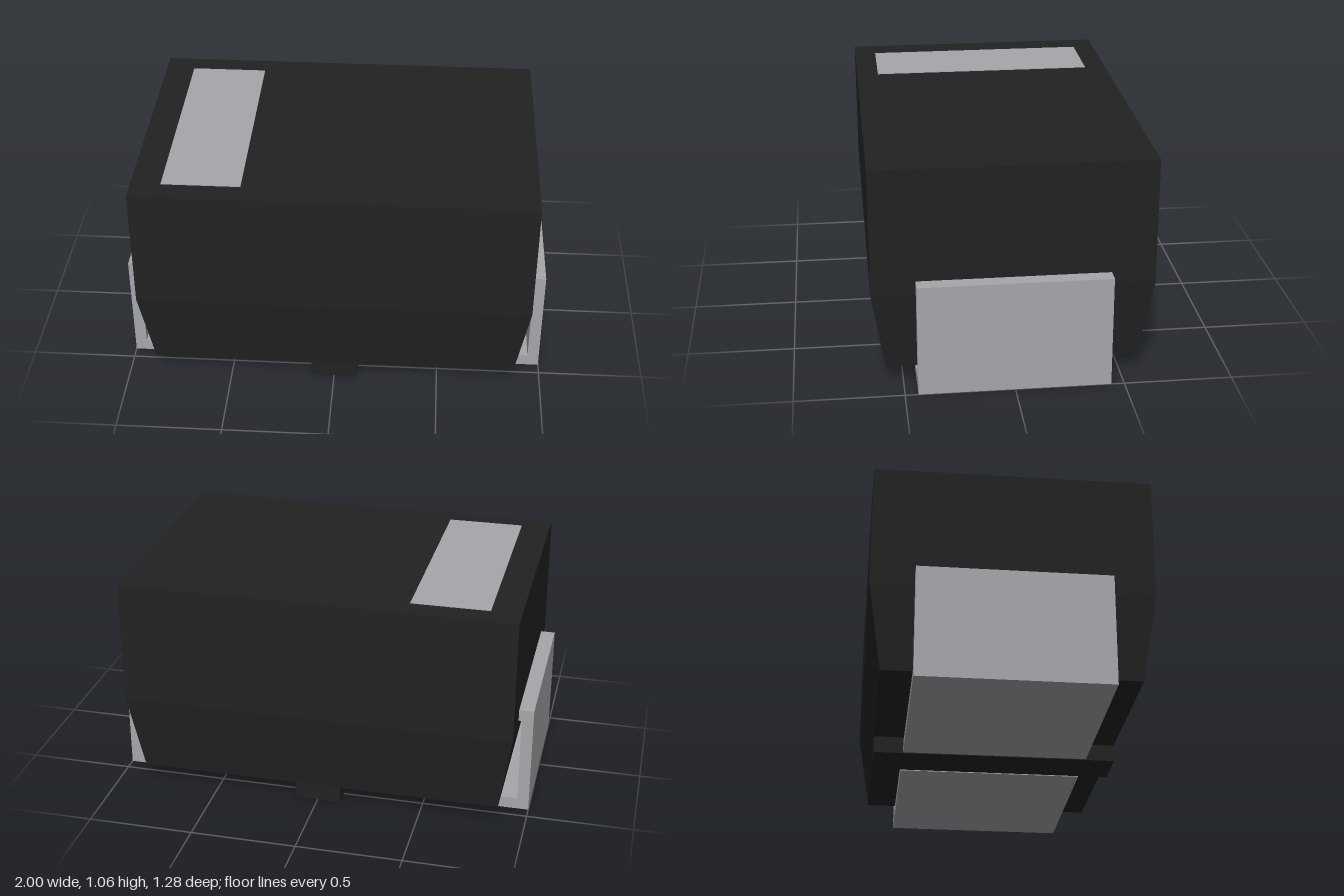
import * as THREE from 'three';

const plastic = new THREE.MeshStandardMaterial({ color: 0x222222 });
plastic.name = 'black plastic';
const metal = new THREE.MeshStandardMaterial({ color: 0xa6a7aa });
metal.name = 'grey metal';

// Box given by its limits on each axis
function box(name, material, [x0, x1], [y0, y1], [z0, z1]) {
  const mesh = new THREE.Mesh(new THREE.BoxGeometry(x1 - x0, y1 - y0, z1 - z0), material);
  mesh.position.set((x0 + x1) / 2, (y0 + y1) / 2, (z0 + z1) / 2);
  mesh.name = name;
  return mesh;
}

// Moulded body: straight upper half, lower half drawn in towards the base
function bodyGeometry() {
  const levels = [
    { y: 0.08, x: 0.87, z: 0.58 },
    { y: 0.47, x: 0.93, z: 0.64 },
    { y: 1.06, x: 0.93, z: 0.64 },
  ];
  const indexed = new THREE.BoxGeometry(2, 2, 2, 1, 2, 1);
  const p = indexed.attributes.position;
  for (let i = 0; i < p.count; i++) {
    const level = levels[Math.round(p.getY(i)) + 1];
    p.setXYZ(i, p.getX(i) * level.x, level.y, p.getZ(i) * level.z);
  }
  const geometry = indexed.toNonIndexed();
  geometry.computeVertexNormals();
  return geometry;
}

// Bent terminal strip: short lip into the body, down the side and under the base
function terminalGeometry() {
  const profile = [
    [0.12, 0], [1, 0], [1, 0.53], [0.92, 0.53],
    [0.92, 0.475], [0.945, 0.475], [0.945, 0.055], [0.12, 0.055],
  ].map(([x, y]) => new THREE.Vector2(x, y));
  const geometry = new THREE.ExtrudeGeometry(new THREE.Shape(profile), { depth: 0.88, bevelEnabled: false });
  return geometry.translate(0, 0, -0.44);
}

export function createModel() {
  const model = new THREE.Group();
  model.name = 'surfaceMountDiode';

  const body = new THREE.Mesh(bodyGeometry(), plastic);
  body.name = 'body';
  model.add(body);

  // Rib under the body, between the terminals
  model.add(box('baseRib', plastic, [-0.11, 0.11], [0, 0.09], [-0.58, 0.58]));

  // Polarity band on the top
  model.add(box('polarityBand', metal, [-0.79, -0.425], [1.058, 1.063], [-0.535, 0.535]));

  // Two opposite terminals
  const terminal = terminalGeometry();
  ['leftTerminal', 'rightTerminal'].forEach((name, i) => {
    const mesh = new THREE.Mesh(terminal, metal);
    mesh.rotation.y = i * Math.PI;
    mesh.name = name;
    model.add(mesh);
  });

  return model;
}
